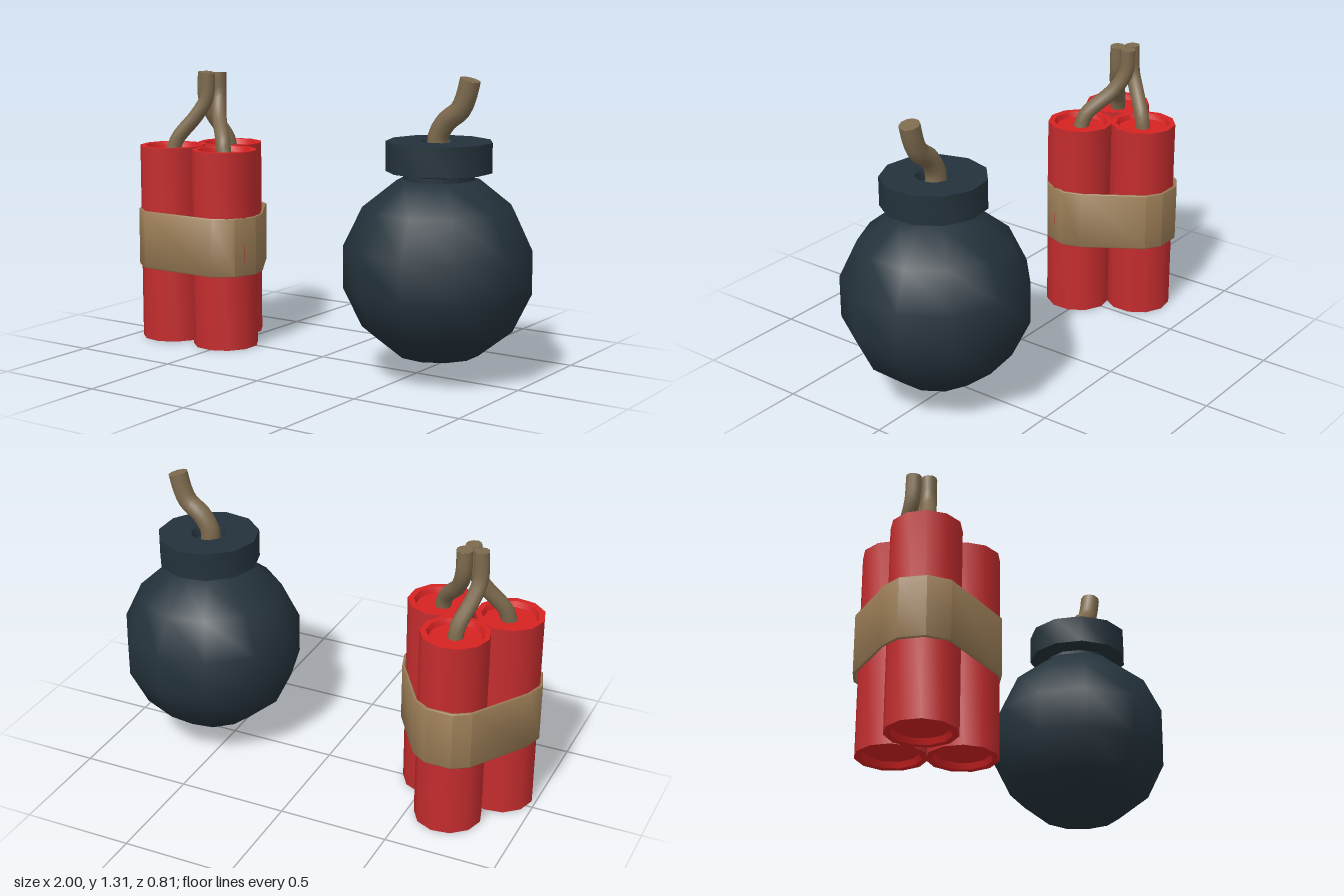
import * as THREE from 'three';
import { toCreasedNormals, mergeGeometries } from 'three/addons/utils/BufferGeometryUtils.js';

const material = (name, color) => {
  const m = new THREE.MeshStandardMaterial({ color });
  m.name = name;
  return m;
};

export function createModel() {
  const red = material('red paper', 0xc42c2e);
  const brightRed = material('bright red ends', 0xd62222);
  const iron = material('dark iron', 0x24323b);
  const strapTan = material('tan strap', 0x9a7c56);
  const cord = material('brown cord', 0x7d6a4e);
  const SIDES = 11;

  const add = (parent, name, geometry, mat) => {
    const mesh = new THREE.Mesh(geometry, mat);
    mesh.name = name;
    parent.add(mesh);
    return mesh;
  };

  // Eleven-sided turned part, smooth around and sharp at the rims
  const turned = (profile) => toCreasedNormals(new THREE.LatheGeometry(
    profile.map(([r, y]) => new THREE.Vector2(r, y)), SIDES, -Math.PI / 2), 0.7);

  // Bent cord with a flat cap on its upper end
  const fuse = (points, radius) => {
    const curve = new THREE.CatmullRomCurve3(points.map((p) => new THREE.Vector3(...p)));
    const tube = new THREE.TubeGeometry(curve, 14, radius, 10);
    const cap = new THREE.CircleGeometry(radius, 10);
    cap.applyQuaternion(new THREE.Quaternion().setFromUnitVectors(
      new THREE.Vector3(0, 0, 1), curve.getTangent(1)));
    const end = curve.getPoint(1);
    cap.translate(end.x, end.y, end.z);
    return mergeGeometries([tube, cap]);
  };

  const model = new THREE.Group();
  model.name = 'explosives';

  // Bundle of three sticks
  const bundle = new THREE.Group();
  bundle.name = 'stickBundle';
  model.add(bundle);

  const body = turned([[0.152, 0], [0.152, 0.92]]);
  const topEnd = turned([[0.152, 0.92], [0.125, 0.92], [0.115, 0.895], [0, 0.895]]);
  const bottomEnd = turned([[0, 0.025], [0.115, 0.025], [0.125, 0], [0.152, 0]]);
  const sticks = [
    { name: 'leftStick', x: -0.52, z: 0.045, path: [[-0.52, 0.88, 0.045], [-0.54, 0.95, 0.03],
      [-0.63, 1.06, -0.06], [-0.665, 1.15, -0.105], [-0.668, 1.26, -0.11]] },
    { name: 'rightStick', x: -0.83, z: 0.045, path: [[-0.83, 0.88, 0.045], [-0.81, 0.95, 0.03],
      [-0.73, 1.06, -0.015], [-0.69, 1.14, -0.04], [-0.683, 1.26, -0.045]] },
    { name: 'backStick', x: -0.675, z: -0.2, path: [[-0.675, 0.88, -0.2], [-0.68, 0.94, -0.19],
      [-0.72, 1.05, -0.13], [-0.738, 1.13, -0.095], [-0.735, 1.26, -0.09]] },
  ];
  for (const { name, x, z, path } of sticks) {
    const stick = new THREE.Group();
    stick.name = name;
    bundle.add(stick);
    add(stick, 'body', body, red).position.set(x, 0, z);
    add(stick, 'topEnd', topEnd, brightRed).position.set(x, 0, z);
    add(stick, 'bottomEnd', bottomEnd, brightRed).position.set(x, 0, z);
    add(stick, 'fuse', fuse(path, 0.035), cord);
  }

  // Strap: thin hollow loop around the sticks, half outline as x offset and z
  const half = [[0.2, 0.203], [0.285, 0.14], [0.323, 0.03], [0.295, -0.06],
    [0.13, -0.315], [0.06, -0.36]];
  const outline = [...half, ...half.map(([x, z]) => [-x, z]).reverse()];
  const loop = (scale) => outline.map(([x, z]) =>
    new THREE.Vector2(x * scale, -(z + 0.04) * scale + 0.04));
  const strapShape = new THREE.Shape(loop(0.99));
  strapShape.holes.push(new THREE.Path(loop(0.965)));
  const strapGeo = new THREE.ExtrudeGeometry(strapShape, { depth: 0.264, bevelEnabled: true,
    bevelThickness: 0.004, bevelSize: 0.003, bevelSegments: 1 });
  strapGeo.rotateX(-Math.PI / 2);
  add(bundle, 'strap', toCreasedNormals(strapGeo, 0.75), strapTan).position.set(-0.677, 0.35, 0);

  // Round bomb
  const bomb = new THREE.Group();
  bomb.name = 'roundBomb';
  bomb.position.x = 0.603;
  model.add(bomb);
  add(bomb, 'ball', new THREE.SphereGeometry(0.42, SIDES, 7), iron).position.y = 0.485;
  add(bomb, 'collar', turned([[0.155, 0.84], [0.155, 0.89], [0.23, 0.903], [0.23, 1.032],
    [0.08, 1.032], [0.065, 0.99], [0, 0.99]]), iron);
  add(bomb, 'fuse', fuse([[-0.01, 0.97, 0], [-0.008, 1.05, 0], [0.03, 1.115, 0],
    [0.098, 1.17, 0], [0.125, 1.225, 0], [0.145, 1.3, 0]], 0.045), cord);

  return model;
}
